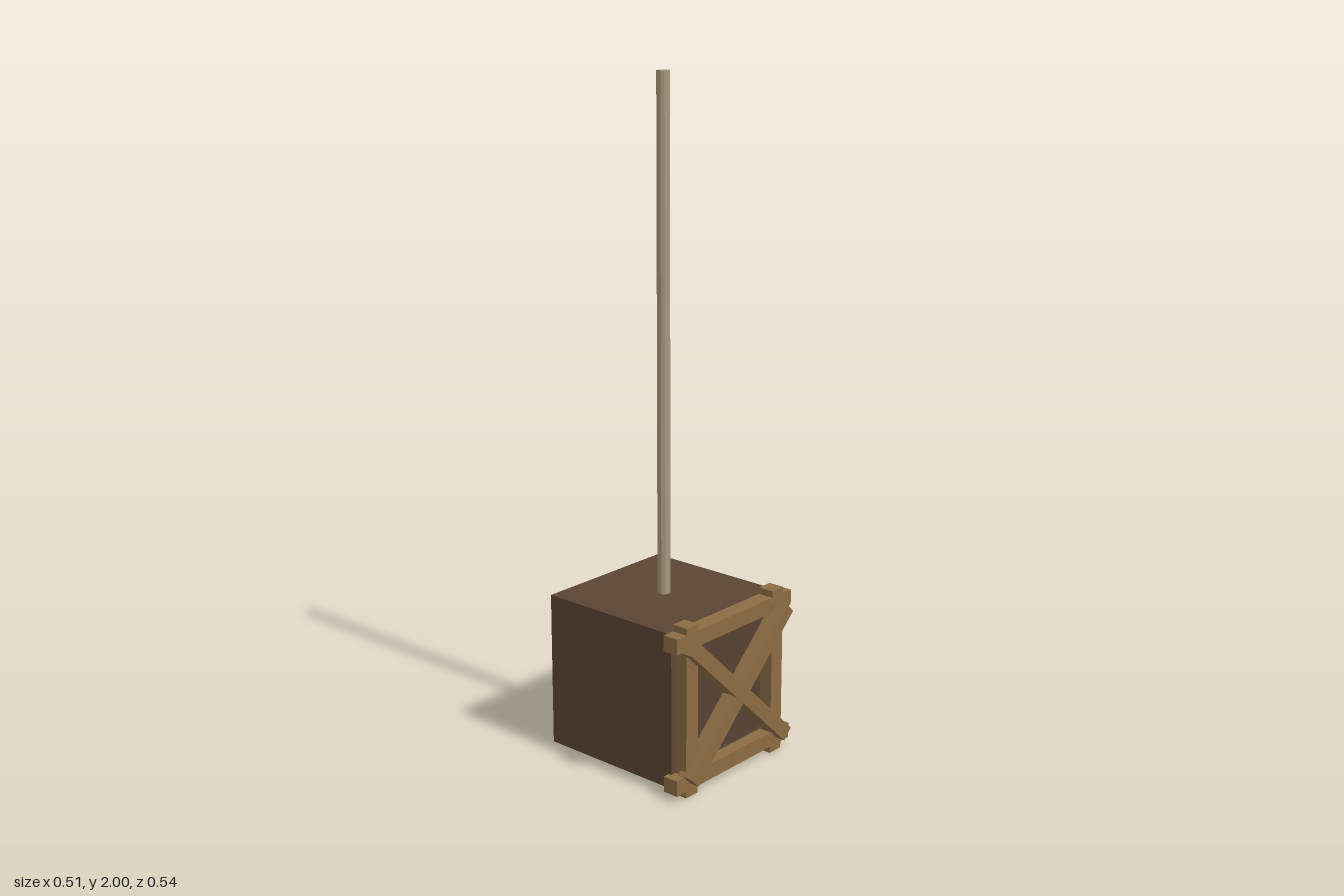
import * as THREE from 'three';

export function createModel() {
  const group = new THREE.Group();
  const mat = (name, color) => {
    const m = new THREE.MeshStandardMaterial({ color });
    m.name = name;
    return m;
  };
  const darkWood = mat('dark wood', 0x5c4635);
  const panelWood = mat('panel wood', 0x564131);
  const lightWood = mat('light wood', 0x8c6c44);
  const ropeTan = mat('rope tan', 0xa8987c);
  ropeTan.flatShading = true;

  const box = (name, material, size, pos, roll = 0) => {
    const mesh = new THREE.Mesh(new THREE.BoxGeometry(...size), material);
    mesh.name = name;
    mesh.position.set(...pos);
    mesh.rotation.z = roll;
    group.add(mesh);
  };

  const midY = 0.257;

  // Solid crate body with a thin front panel
  box('crate', darkWood, [0.47, 0.468, 0.468], [0, midY, -0.036]);
  box('frontPanel', panelWood, [0.31, 0.35, 0.008], [0, midY, 0.202]);

  // Front frame of overlapping bars, with crossed braces
  for (const s of [-1, 1]) {
    box('frameUpright', lightWood, [0.05, 0.514, 0.05], [s * 0.192, midY, 0.213]);
    box('frameRail', lightWood, [0.512, 0.047, 0.0496], [0, midY + s * 0.2135, 0.213]);
    box('crossBrace', lightWood, [0.587, 0.0436, 0.05], [0, midY, 0.243], s * 0.759);
  }

  // Hanging rope
  const rope = new THREE.Mesh(new THREE.CylinderGeometry(0.019, 0.019, 1.51, 10), ropeTan);
  rope.name = 'rope';
  rope.position.set(0, 1.245, -0.036);
  group.add(rope);

  return group;
}
